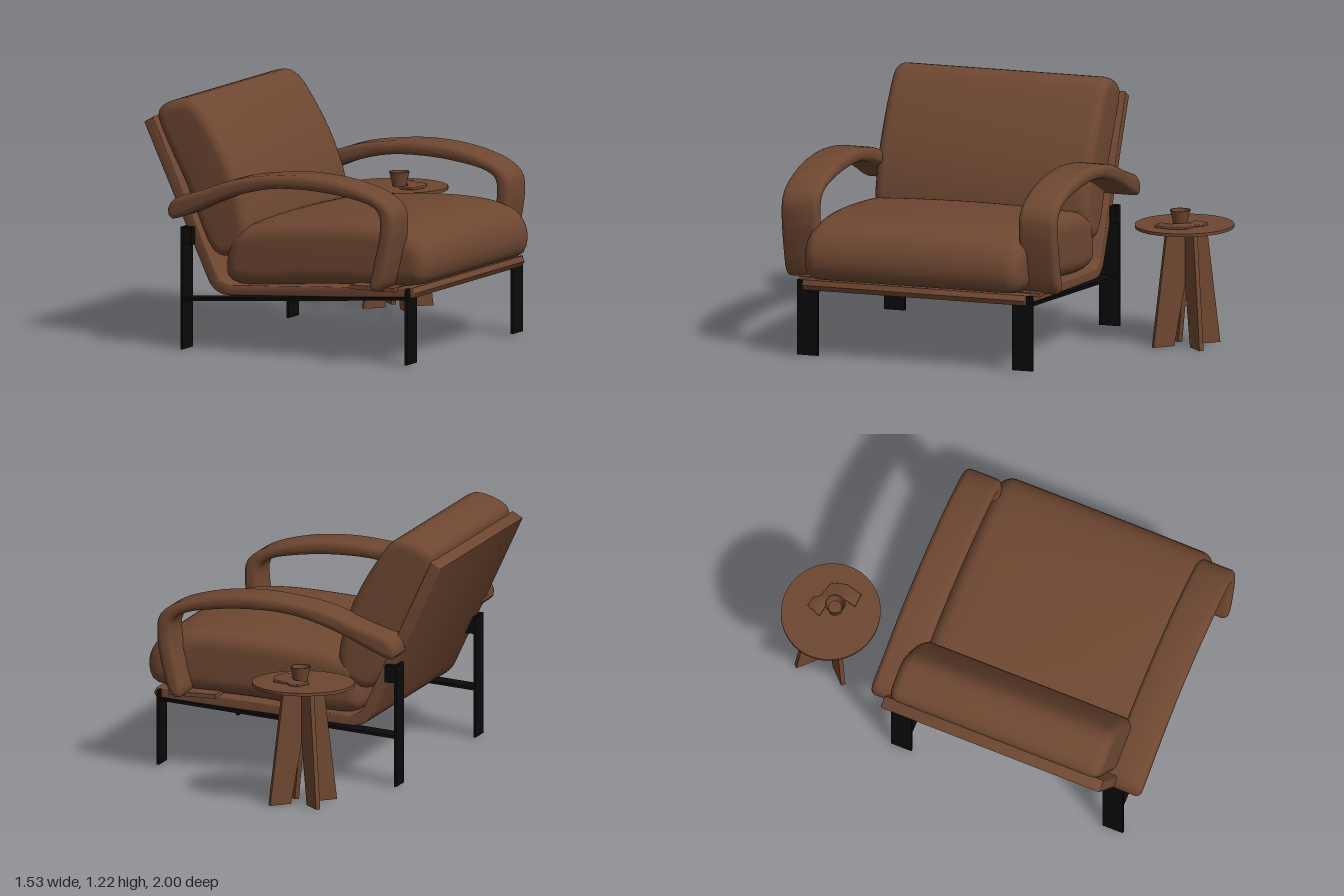
import * as THREE from 'three';
import { toCreasedNormals } from 'three/addons/utils/BufferGeometryUtils.js';

const brown = new THREE.MeshStandardMaterial({ color: 0x6e4731 });
brown.name = 'brown leather and wood';
const black = new THREE.MeshStandardMaterial({ color: 0x0a0a0a });
black.name = 'black metal';

const MID = 0.293; // z of the chair's centre plane

// Closed smooth outline through a few points
function smoothShape(points, n = 64) {
  const curve = new THREE.CatmullRomCurve3(points.map(([x, y]) => new THREE.Vector3(x, y, 0)), true, 'centripetal');
  return new THREE.Shape(curve.getSpacedPoints(n).slice(0, n).map(p => new THREE.Vector2(p.x, p.y)));
}

function polyShape(points) {
  return new THREE.Shape(points.map(([x, y]) => new THREE.Vector2(x, y)));
}

// Side profile extruded from z0 to z1, with edges rounded inside the outline
function slab(shape, z0, z1, round = 0, steps = 1) {
  const geo = new THREE.ExtrudeGeometry(shape, {
    depth: z1 - z0 - 2 * round, steps, curveSegments: 10,
    bevelEnabled: round > 0, bevelThickness: round, bevelSize: round, bevelOffset: -round, bevelSegments: 6,
  });
  return geo.translate(0, 0, z0 + round);
}

function add(parent, name, geo, mat, crease = 0.7) {
  const mesh = new THREE.Mesh(crease ? toCreasedNormals(geo, crease) : geo, mat);
  mesh.name = name;
  parent.add(mesh);
  return mesh;
}

function box(parent, name, mat, x0, x1, y0, y1, z0, z1) {
  const geo = new THREE.BoxGeometry(x1 - x0, y1 - y0, z1 - z0);
  geo.translate((x0 + x1) / 2, (y0 + y1) / 2, (z0 + z1) / 2);
  return add(parent, name, geo, mat, 0);
}

function buildChair() {
  const chair = new THREE.Group();
  chair.name = 'armchair';

  // Bent shell carrying both cushions
  const shell = new THREE.Shape();
  shell.moveTo(-0.768, 1.095);
  shell.lineTo(-0.425, 0.36);
  shell.quadraticCurveTo(-0.39, 0.275, -0.30, 0.277);
  shell.lineTo(0.70, 0.335);
  shell.lineTo(0.715, 0.36);
  shell.lineTo(0.70, 0.385);
  shell.lineTo(-0.28, 0.328);
  shell.quadraticCurveTo(-0.345, 0.325, -0.375, 0.385);
  shell.lineTo(-0.715, 1.125);
  add(chair, 'shell', slab(shell, -0.28, 0.868, 0.006), brown);

  // Seat cushion, crowned across its width
  const seat = slab(smoothShape([
    [-0.34, 0.36], [-0.345, 0.46], [-0.31, 0.58], [-0.2, 0.62], [0.05, 0.652], [0.42, 0.67], [0.6, 0.652],
    [0.71, 0.61], [0.76, 0.53], [0.762, 0.46], [0.735, 0.405], [0.66, 0.385], [0.2, 0.36], [-0.28, 0.33],
  ], 80), -0.268, 0.855, 0.075, 12);
  const pos = seat.attributes.position;
  for (let i = 0; i < pos.count; i++) {
    const u = (pos.getZ(i) - MID) / 0.56;
    const lift = THREE.MathUtils.smoothstep(pos.getY(i), 0.45, 0.65);
    pos.setY(i, pos.getY(i) + 0.018 * lift * (1 - u * u));
  }
  add(chair, 'seatCushion', seat, brown);

  // Back cushion
  add(chair, 'backCushion', slab(smoothShape([
    [-0.72, 1.13], [-0.70, 1.17], [-0.63, 1.205], [-0.55, 1.22], [-0.495, 1.195], [-0.40, 1.07], [-0.30, 0.89],
    [-0.24, 0.72], [-0.222, 0.59], [-0.25, 0.505], [-0.37, 0.458], [-0.425, 0.495], [-0.56, 0.79],
  ], 80), -0.262, 0.845, 0.05), brown);

  // Armrests: a curved band bent down at the front
  const arm = smoothShape([
    [-0.578, 0.70], [-0.55, 0.745], [-0.4, 0.80], [-0.2, 0.87], [0.0, 0.902], [0.18, 0.911], [0.4, 0.888],
    [0.58, 0.83], [0.645, 0.77], [0.655, 0.68], [0.625, 0.5], [0.59, 0.395], [0.555, 0.37], [0.525, 0.385],
    [0.545, 0.5], [0.577, 0.65], [0.573, 0.755], [0.52, 0.793], [0.35, 0.828], [0.15, 0.842], [-0.03, 0.832],
    [-0.2, 0.79], [-0.35, 0.732], [-0.5, 0.665], [-0.565, 0.652],
  ], 110);
  for (const s of [-1, 1]) {
    const side = s > 0 ? 'left' : 'right';
    const span = (a, b) => [MID + s * a, MID + s * b].sort((p, q) => p - q);
    add(chair, side + 'Armrest', slab(arm, ...span(0.517, 0.707), 0.028), brown);
    box(chair, side + 'ArmBracket', brown, 0.38, 0.62, 0.365, 0.385, ...span(0.5, 0.62));

    // Flat metal legs joined by a sloping rail
    const leg = span(0.5, 0.608);
    box(chair, side + 'BackLeg', black, -0.551, -0.539, 0, 0.6, ...leg);
    box(chair, side + 'BackLegTab', black, -0.545, -0.49, 0.515, 0.6, ...leg);
    box(chair, side + 'FrontLeg', black, 0.674, 0.686, 0.01, 0.38, ...leg);
    const rail = polyShape([[-0.55, 0.233], [0.68, 0.325], [0.68, 0.34], [-0.55, 0.248]]);
    add(chair, side + 'Rail', slab(rail, ...span(0.5, 0.59)), black);
  }
  return chair;
}

function buildTable() {
  const table = new THREE.Group();
  table.name = 'sideTable';
  const top = new THREE.CylinderGeometry(0.25, 0.25, 0.015, 64).scale(1, 1, 0.96);
  add(table, 'tableTop', top.translate(-0.235, 0.588, -0.76), brown);

  // Two crossed boards, each cut into a pair of splayed legs
  const board = polyShape([
    [-0.178, 0], [-0.068, 0], [-0.012, 0.29], [0.012, 0.29], [0.068, 0], [0.178, 0], [0.105, 0.582], [-0.105, 0.582],
  ]);
  for (const a of [1, -1]) {
    const legs = add(table, 'tableLegs', slab(board, -0.011, 0.011), brown);
    legs.position.set(-0.235, 0, -0.768);
    legs.rotation.y = a * Math.PI / 4;
  }

  // Crumpled napkin lying beside the cup
  const napkin = polyShape([
    [-0.28, 0.80], [-0.25, 0.875], [-0.20, 0.865], [-0.18, 0.835], [-0.10, 0.815], [-0.078, 0.74],
    [-0.10, 0.655], [-0.17, 0.66], [-0.155, 0.72], [-0.2, 0.79],
  ]);
  const cloth = slab(napkin, 0, 0.014, 0.004).rotateX(-Math.PI / 2);
  add(table, 'napkin', cloth.translate(0, 0.595, 0), brown);

  // Hollow cup
  const cup = new THREE.LatheGeometry([
    [0, 0.597], [0.034, 0.597], [0.038, 0.62], [0.05, 0.668], [0.044, 0.668], [0.032, 0.625], [0, 0.622],
  ].map(([r, y]) => new THREE.Vector2(r, y)), 32);
  add(table, 'cup', cup.translate(-0.215, 0, -0.745), brown);
  return table;
}

export function createModel() {
  const model = new THREE.Group();
  model.name = 'armchairWithSideTable';
  model.add(buildChair(), buildTable());
  return model;
}
